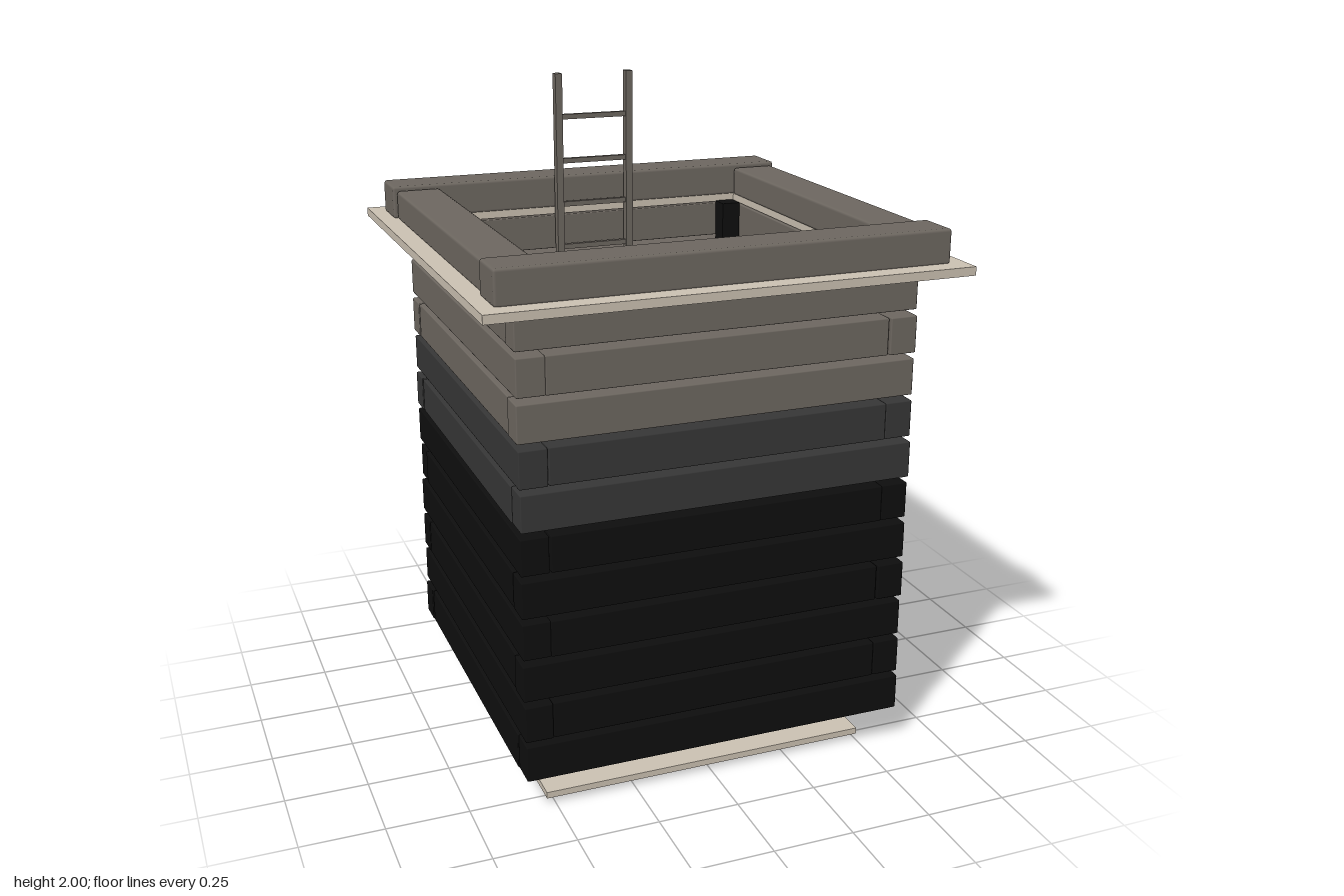
import * as THREE from 'three';
import { RoundedBoxGeometry } from 'three/addons/geometries/RoundedBoxGeometry.js';

const material = (name, color) => {
  const m = new THREE.MeshStandardMaterial({ color });
  m.name = name;
  return m;
};

export function createModel() {
  const model = new THREE.Group();
  model.name = 'timberShaft';
  const wood = material('weathered wood', 0x6d6760);
  const damp = material('damp wood', 0x363636);
  const wet = material('black wet wood', 0x0e0e0e);
  const stone = material('pale slab', 0xcbc1b2);

  const add = (parent, name, geometry, mat, x, y, z) => {
    const mesh = new THREE.Mesh(geometry, mat);
    mesh.name = name;
    mesh.position.set(x, y, z);
    parent.add(mesh);
    return mesh;
  };
  const box = (w, h, d) => new THREE.BoxGeometry(w, h, d);
  const timber = (w, h, d, bevel) => new RoundedBoxGeometry(w, h, d, 1, bevel);

  // Floor slab
  add(model, 'floorSlab', box(1.036, 0.02, 1.036), stone, 0, 0.01, 0);

  // Rim slab with a square opening
  const rim = new THREE.Shape();
  const R = 0.717, r = 0.522;
  rim.moveTo(-R, -R).lineTo(R, -R).lineTo(R, R).lineTo(-R, R).closePath();
  const hole = new THREE.Path();
  hole.moveTo(-r, -r).lineTo(-r, r).lineTo(r, r).lineTo(r, -r).closePath();
  rim.holes.push(hole);
  const rimGeometry = new THREE.ExtrudeGeometry(rim, { depth: 0.026, bevelEnabled: false });
  rimGeometry.rotateX(-Math.PI / 2);
  add(model, 'rimSlab', rimGeometry, stone, 0, 1.536, 0);

  // Wall planks: rows alternate which pair of walls runs the full width
  const walls = new THREE.Group();
  walls.name = 'wallPlanks';
  model.add(walls);
  const rows = 11, full = 1.206, short = 1.034, thick = 0.084, h = 0.112, off = 0.561;
  for (let i = 0; i < rows; i++) {
    const y = 0.18 + i * 0.1296;
    const mat = i < 6 ? wet : i < 8 ? damp : wood;
    const frontLength = i % 2 ? short : full;
    const sideLength = i % 2 ? full : short;
    for (const s of [-1, 1]) {
      const shift = 0.003 * Math.sin(i * 5.3 + s);
      add(walls, 'frontBackPlank', timber(frontLength, h, thick, 0.004), mat, shift, y, s * off);
      add(walls, 'sidePlank', timber(thick, h, sideLength, 0.004), mat, s * off, y, -shift);
    }
  }

  // Corner posts inside the walls
  for (const x of [-1, 1]) for (const z of [-1, 1])
    add(model, 'cornerPost', box(0.062, 1.44, 0.062), wet, x * 0.484, 0.82, z * 0.484);

  // Curb beams on the rim
  for (const s of [-1, 1]) {
    add(model, 'longCurbBeam', timber(1.34, 0.104, 0.138, 0.009), wood, 0, 1.61, s * 0.588);
    add(model, 'sideCurbBeam', timber(0.142, 0.092, 1.03, 0.009), wood, s * 0.588, 1.604, 0);
  }

  // Ladder by the back wall
  const ladder = new THREE.Group();
  ladder.name = 'ladder';
  ladder.position.z = -0.492;
  model.add(ladder);
  for (const s of [-1, 1])
    add(ladder, 'ladderRail', box(0.023, 1.86, 0.029), wood, s * 0.121, 1.07, 0);
  for (let y = 1.86; y > 0.2; y -= 0.1435)
    add(ladder, 'ladderRung', box(0.22, 0.016, 0.016), wood, 0, y, 0);

  return model;
}
